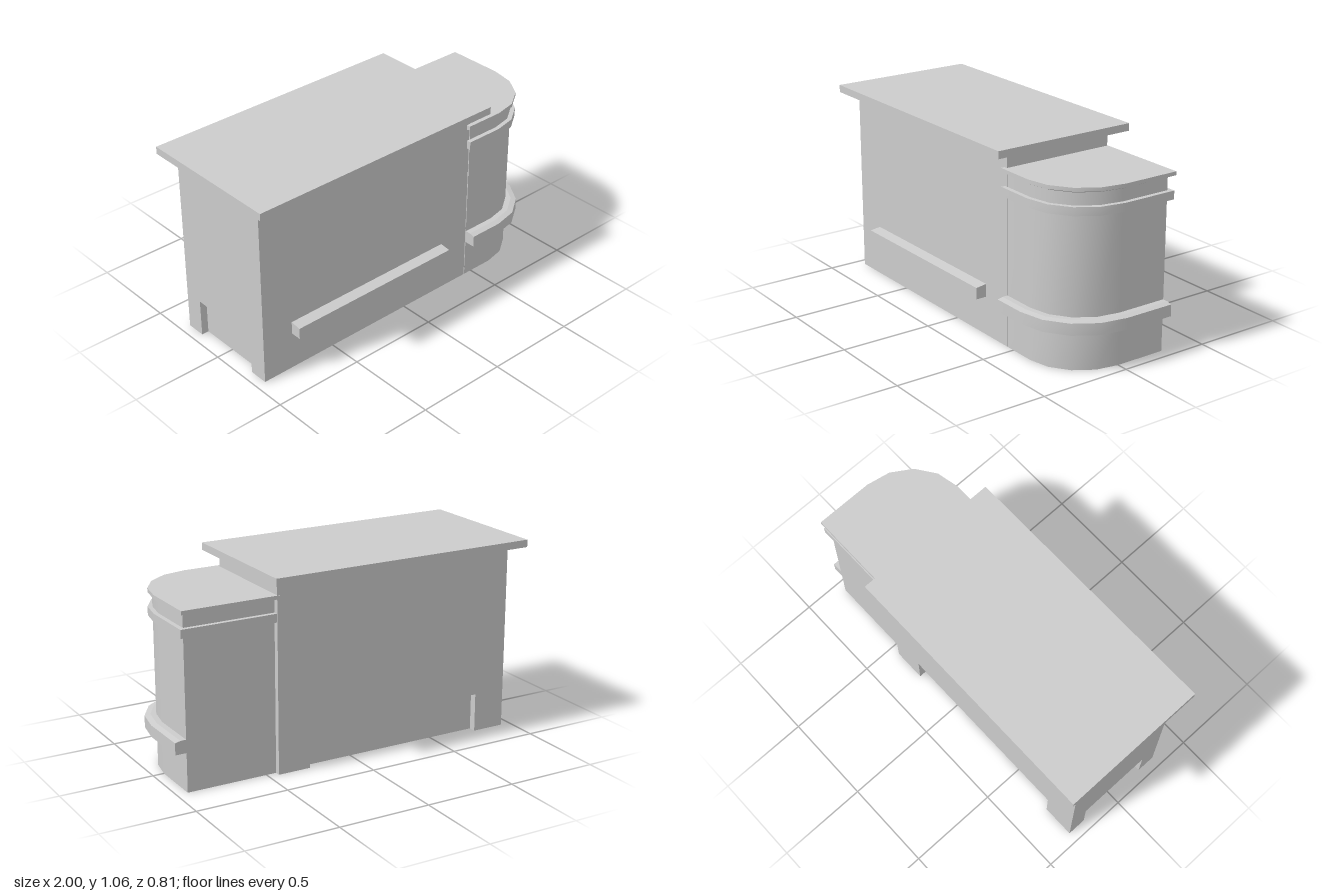
import * as THREE from 'three';
import { mergeGeometries } from 'three/addons/utils/BufferGeometryUtils.js';

const material = new THREE.MeshStandardMaterial({ color: 0xcccccc, side: THREE.DoubleSide });
const FACES = ['+x', '-x', '+y', '-y', '+z', '-z'];
const BACK = -0.31, FRONT = 0.315, LEFT = 0.445, RIGHT = -0.945, TOP = 1.013;
const CAP_BACK = -0.28, CAP_SIDE = 0.94, ARC_X = 0.64;

// Thin box between two corners, without the named faces
function openBox(a, b, drop) {
  const g = new THREE.BoxGeometry(b[0] - a[0], b[1] - a[1], b[2] - a[2]);
  const index = Array.from(g.index.array).filter((_, i) => !drop.includes(FACES[Math.floor(i / 6)]));
  g.setIndex(index);
  g.clearGroups();
  g.translate((a[0] + b[0]) / 2, (a[1] + b[1]) / 2, (a[2] + b[2]) / 2);
  return g;
}

const polygon = (pts) => new THREE.Shape(pts.map((p) => new THREE.Vector2(p[0], p[1])));

// Upright wall outline, with an optional notch in its bottom edge
function wallShape(u0, u1, notch) {
  const pts = [[u0, 0]];
  if (notch) pts.push([notch[0], 0], [notch[0], notch[2]], [notch[1], notch[2]], [notch[1], 0]);
  pts.push([u1, 0], [u1, TOP], [u0, TOP]);
  return polygon(pts);
}
const wallAlongX = (shape, z) => new THREE.ShapeGeometry(shape).translate(0, 0, z);
const wallAlongZ = (shape, x) => new THREE.ShapeGeometry(shape).rotateY(-Math.PI / 2).translate(x, 0, 0);

// Rounded end outline in plan as [x, z], pushed outward by off
function outline(off, x0) {
  const pts = [[CAP_SIDE + off, CAP_BACK]];
  for (let i = 0; i <= 4; i++) {
    const t = (i / 4) * Math.PI / 2;
    pts.push([ARC_X + (CAP_SIDE - ARC_X + off) * Math.cos(t), (FRONT + off) * Math.sin(t)]);
  }
  pts.push([x0, FRONT + off]);
  return pts;
}

// Sweep a profile of [off, y] along path(off); each strip keeps its own vertices for sharp edges
function sweep(profile, path) {
  const strips = [];
  for (let s = 0; s < profile.length - 1; s++) {
    const pos = [], idx = [];
    const rows = [profile[s], profile[s + 1]].map(([off, y]) => path(off).map(([x, z]) => [x, y, z]));
    const n = rows[0].length;
    for (const row of rows) for (const p of row) pos.push(...p);
    for (let i = 0; i < n - 1; i++) idx.push(i, i + n, i + 1, i + 1, i + n, i + n + 1);
    const g = new THREE.BufferGeometry();
    g.setAttribute('position', new THREE.Float32BufferAttribute(pos, 3));
    g.setIndex(idx);
    g.computeVertexNormals();
    strips.push(g);
  }
  return mergeGeometries(strips);
}

// Flat closure of a profile where its run meets the body on the front
const frontEnd = (profile, x0) => wallAlongZ(polygon(profile.map(([o, y]) => [FRONT + o, y])), x0);

export function createModel() {
  const model = new THREE.Group();
  const add = (name, geometry, parent = model) => {
    const mesh = new THREE.Mesh(geometry, material);
    mesh.name = name;
    parent.add(mesh);
  };
  const group = (name) => {
    const g = new THREE.Group();
    g.name = name;
    model.add(g);
    return g;
  };

  // Counter slab, hollow underneath
  add('counterTop', openBox([-1, 1.02, -0.405], [0.5, 1.06, 0.405], ['-y']));

  // Body walls, open at the bottom
  const body = group('body');
  const frontShape = wallShape(RIGHT, LEFT);
  frontShape.holes.push(new THREE.Path([[-0.765, 0.21], [-0.765, 0.28], [0.265, 0.28], [0.265, 0.21]]
    .map((p) => new THREE.Vector2(...p))));
  add('frontWall', wallAlongX(frontShape, FRONT), body);
  add('backWall', wallAlongX(wallShape(RIGHT, LEFT, [-0.765, 0.265, 0.21]), BACK), body);
  add('rightWall', wallAlongZ(wallShape(BACK, FRONT, [-0.205, 0.21, 0.21]), RIGHT), body);
  add('leftWall', wallAlongZ(wallShape(BACK, FRONT), LEFT), body);
  add('backToeKick', openBox([-0.765, 0, BACK], [0.265, 0.21, BACK + 0.04], ['-z', '+y', '-y']), body);
  add('rightToeKick', openBox([RIGHT, 0, -0.205], [RIGHT + 0.04, 0.21, 0.21], ['-x', '+y', '-y']), body);

  // Front foot rail: hollow, with a slightly sloped top
  const rail = openBox([-0.765, 0.21, FRONT], [0.265, 0.28, 0.375], ['-z']);
  const p = rail.attributes.position;
  for (let i = 0; i < p.count; i++) if (p.getY(i) > 0.27 && p.getZ(i) > 0.37) p.setY(i, 0.272);
  rail.computeVertexNormals();
  add('footRail', rail);

  // Rounded end: curved wall with the foot rail folded out of it
  const cap = group('roundedEnd');
  const railProfile = [[0, 0.21], [0.06, 0.21], [0.06, 0.273], [0.03, 0.28], [0, 0.28]];
  const wallProfile = [[0, 0], ...railProfile, [0, 0.918]];
  add('curvedWall', sweep(wallProfile, (o) => outline(o, 0.45)), cap);
  add('railFrontEnd', frontEnd(railProfile, 0.45), cap);
  add('railBackEnd', wallAlongX(polygon(railProfile.map(([o, y]) => [CAP_SIDE + o, y])), CAP_BACK), cap);
  add('endBackWall', new THREE.PlaneGeometry(CAP_SIDE - LEFT, 0.918).rotateY(Math.PI)
    .translate((CAP_SIDE + LEFT) / 2, 0.459, CAP_BACK), cap);

  // Trim band and lid edge run around the curve, then along the back
  const trim = (name, profile, x0, backScale) => {
    const back = (o) => CAP_BACK - o * backScale;
    const run = (o) => {
      const pts = outline(o, x0);
      pts[0][1] = back(o);
      return pts;
    };
    add(name, sweep(profile, run), cap);
    add(name + 'Back', sweep(profile, (o) => [[x0, back(o)], [CAP_SIDE + o, back(o)]]), cap);
    add(name + 'End', frontEnd(profile, x0), cap);
    return run;
  };
  trim('trimBand', [[0, 0.805], [0.024, 0.805], [0.024, 0.85], [0, 0.85]], 0.43, 1);
  const lidRun = trim('lidEdge', [[0, 0.915], [0.022, 0.925], [0.022, 0.945], [0, 0.945]], 0.425, 1.55);

  // Lid surface
  const edge = lidRun(0.022);
  const lid = polygon([...edge, [LEFT, edge[edge.length - 1][1]], [LEFT, edge[0][1]]]
    .filter(([x]) => x >= LEFT).map(([x, z]) => [x, -z]));
  add('lid', new THREE.ShapeGeometry(lid).rotateX(-Math.PI / 2).translate(0, 0.945, 0), cap);

  return model;
}
